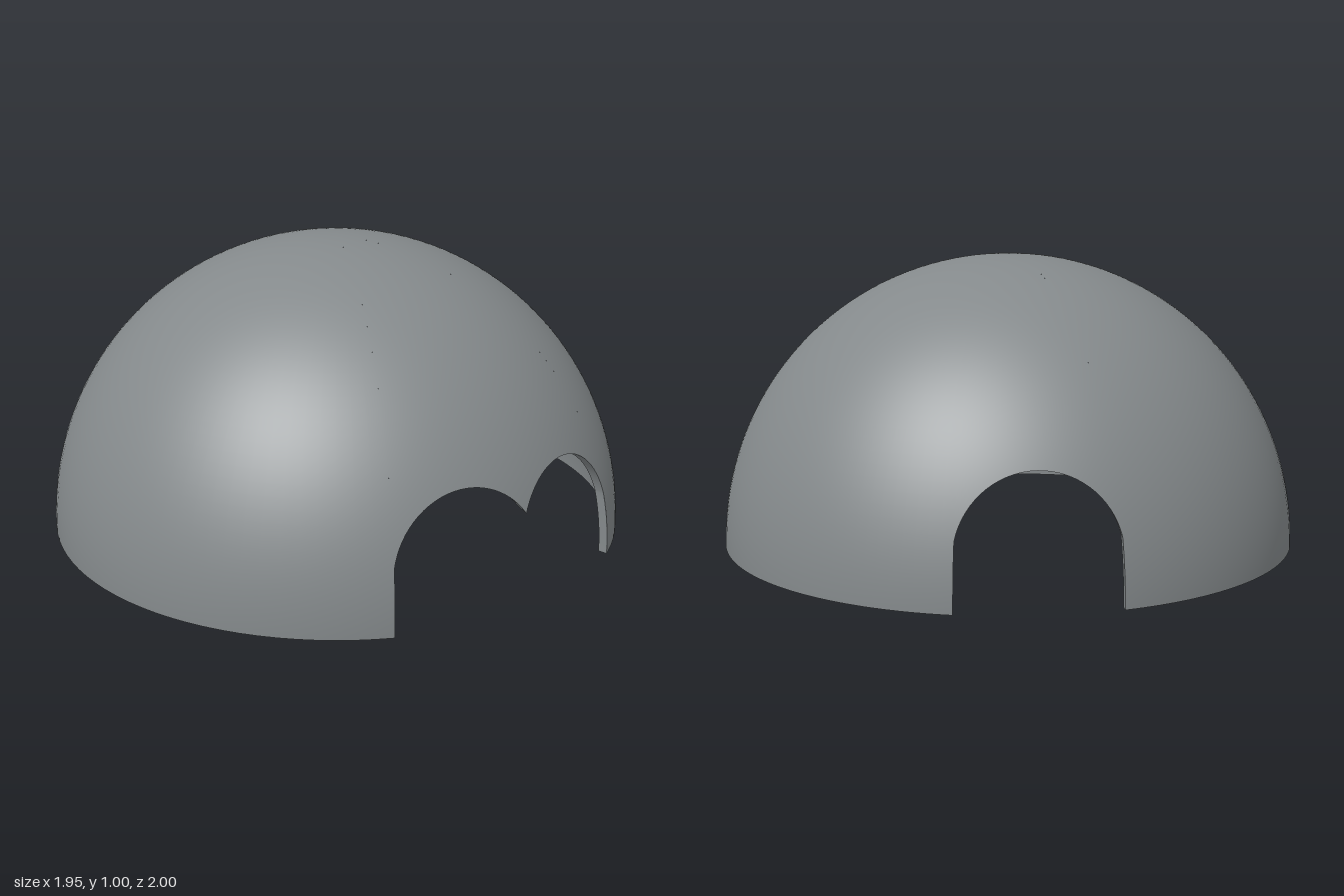
import * as THREE from 'three';
import { toCreasedNormals } from 'three/addons/utils/BufferGeometryUtils.js';

const RAD = Math.PI / 180;
const OUTER = 1, INNER = 0.97;      // shell radii
const ARCH_R = 0.257, SPRING = 0.16; // doorway half-width and height where its arch begins
const OPENINGS = [[-5.7, 20.2], [213]]; // doorway bearings in degrees; the first opening is a pair
const ROWS = 40;

// Height of the doorway edge on a sphere of radius r, along the meridian at angle a
function archHeight(a, bearings, r) {
  let best = 0;
  for (const b of bearings) {
    const s = Math.abs(Math.sin(a - b * RAD));
    if (s * r > ARCH_R + 1e-6) continue;
    let y = SPRING;
    for (let i = 0; i < 40; i++) {
      const d = s * Math.sqrt(r * r - y * y);
      y = SPRING + Math.sqrt(Math.max(0, ARCH_R * ARCH_R - d * d));
    }
    best = Math.max(best, y);
  }
  return best;
}

// Lower edge of the shell, once round: ground, jamb up, arches, jamb down
function lowerEdge(r) {
  const half = Math.asin(ARCH_R / r), edge = [];
  const ends = OPENINGS.map(o => [o[0] * RAD - half, o[o.length - 1] * RAD + half]);
  OPENINGS.forEach((bearings, k) => {
    const [lo, hi] = ends[k];
    const stops = [lo];
    if (bearings.length === 2) stops.push((bearings[0] + bearings[1]) / 2 * RAD);
    stops.push(hi);
    const jamb = archHeight(lo + 1e-7, bearings, r);
    for (let i = 0; i < 8; i++) edge.push({ a: lo, y: jamb * i / 8 });
    for (let s = 0; s + 1 < stops.length; s++) {
      for (let i = s ? 1 : 0; i <= 32; i++) {
        const t = (1 - Math.cos(Math.PI * i / 32)) / 2;
        const a = stops[s] + (stops[s + 1] - stops[s]) * t;
        const atJamb = (s === 0 && i === 0) || (s + 2 === stops.length && i === 32);
        edge.push({ a, y: atJamb ? jamb : archHeight(a, bearings, r) });
      }
    }
    for (let i = 7; i >= 0; i--) edge.push({ a: hi, y: jamb * i / 8 });
    const next = k + 1 < ends.length ? ends[k + 1][0] : ends[0][0] + 2 * Math.PI;
    for (let i = 1; i < 48; i++) edge.push({ a: hi + (next - hi) * i / 48, y: 0 });
  });
  edge.push({ a: edge[0].a + 2 * Math.PI, y: 0 });
  return edge;
}

function onSphere(r, a, e) {
  return [r * Math.cos(e) * Math.cos(a), r * Math.sin(e), r * Math.cos(e) * Math.sin(a)];
}

// Spherical skin running from the lower edge up to the pole
function skin(r, edge, inward) {
  const pos = [], nor = [], idx = [], sign = inward ? -1 : 1;
  for (const { a, y } of edge) {
    const e0 = Math.asin(y / r);
    for (let j = 0; j <= ROWS; j++) {
      const p = onSphere(r, a, e0 + (Math.PI / 2 - e0) * j / ROWS);
      pos.push(...p);
      nor.push(...p.map(v => sign * v / r));
    }
  }
  for (let i = 0; i + 1 < edge.length; i++) {
    if (edge[i + 1].a - edge[i].a < 1e-9) continue; // jamb points share a meridian
    for (let j = 0; j < ROWS; j++) {
      const p = i * (ROWS + 1) + j, q = p + ROWS + 1;
      const tris = [[p, p + 1, q], [p + 1, q + 1, q]];
      for (const t of tris) idx.push(...(inward ? t.reverse() : t));
    }
  }
  const g = new THREE.BufferGeometry();
  g.setAttribute('position', new THREE.Float32BufferAttribute(pos, 3));
  g.setAttribute('normal', new THREE.Float32BufferAttribute(nor, 3));
  g.setIndex(idx);
  return g;
}

// Thickness of the shell: base ring and doorway reveals
function rim(outer, inner) {
  const pos = [];
  const at = (r, p) => onSphere(r, p.a, Math.asin(p.y / r));
  for (let i = 0; i + 1 < outer.length; i++) {
    const o = at(OUTER, outer[i]), o2 = at(OUTER, outer[i + 1]);
    const n = at(INNER, inner[i]), n2 = at(INNER, inner[i + 1]);
    pos.push(...n, ...o, ...n2, ...o, ...o2, ...n2);
  }
  const g = new THREE.BufferGeometry();
  g.setAttribute('position', new THREE.Float32BufferAttribute(pos, 3));
  return toCreasedNormals(g, 40 * RAD);
}

export function createModel() {
  const grey = new THREE.MeshStandardMaterial({ color: 0x84898b });
  grey.name = 'dome grey';
  const group = new THREE.Group();
  group.name = 'dome';
  const outer = lowerEdge(OUTER), inner = lowerEdge(INNER);
  const add = (name, geometry) => {
    const mesh = new THREE.Mesh(geometry, grey);
    mesh.name = name;
    mesh.position.x = 0.03;
    group.add(mesh);
  };
  add('outerShell', skin(OUTER, outer, false));
  add('innerShell', skin(INNER, inner, true));
  add('rimAndDoorways', rim(outer, inner));
  return group;
}
